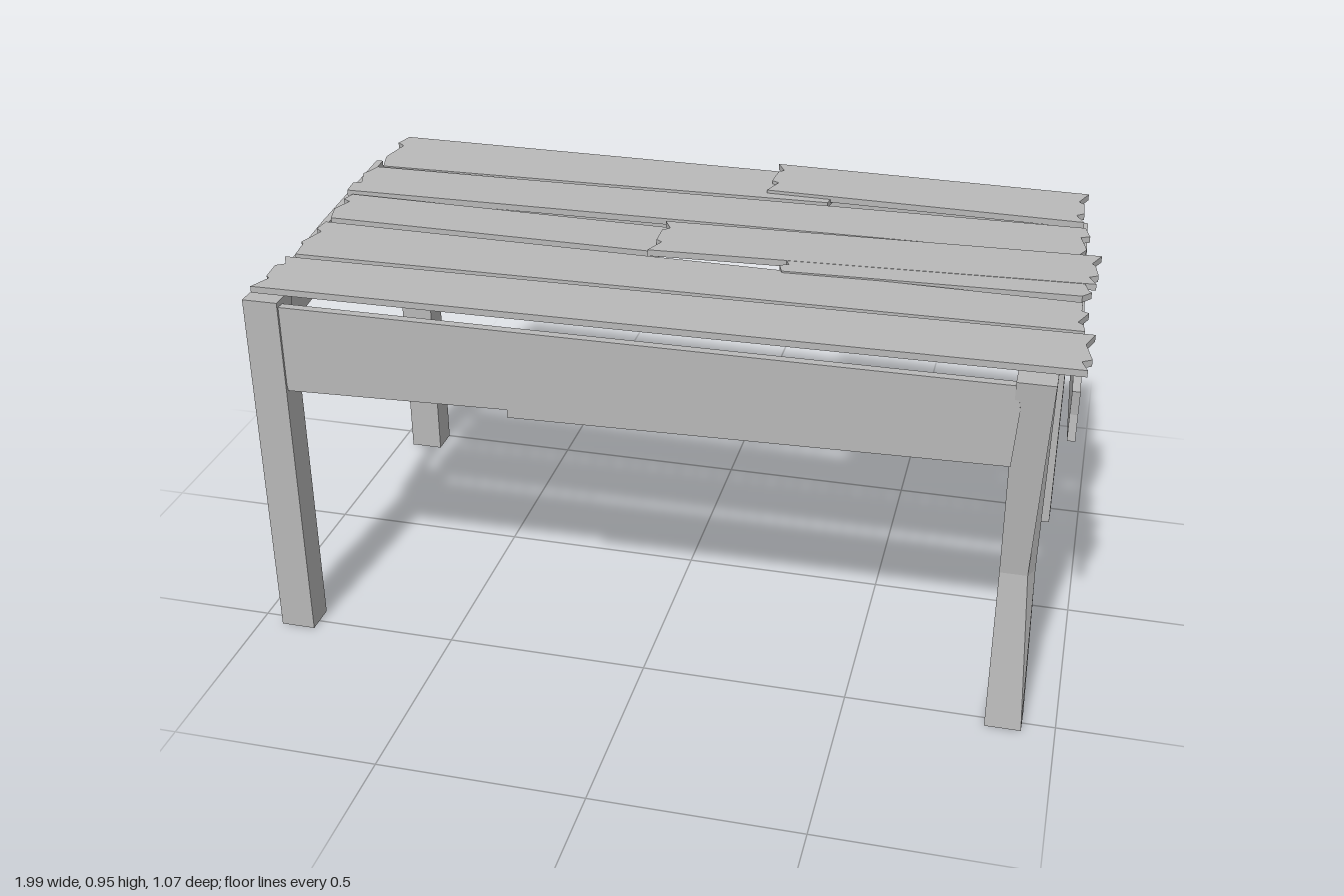
import * as THREE from 'three';

const wood = new THREE.MeshStandardMaterial({ color: 0xb8b8b8 });
wood.name = 'greyWood';

// Extrudes an outline into a board
function boardGeometry(points, thickness) {
  const shape = new THREE.Shape(points.map(([a, b]) => new THREE.Vector2(a, b)));
  return new THREE.ExtrudeGeometry(shape, { depth: thickness, bevelEnabled: false });
}

// Moves every vertex of a geometry by a rule
function reshape(geometry, rule) {
  const p = geometry.attributes.position;
  const v = new THREE.Vector3();
  for (let i = 0; i < p.count; i++) {
    rule(v.fromBufferAttribute(p, i));
    p.setXYZ(i, v.x, v.y, v.z);
  }
  geometry.computeVertexNormals();
  return geometry;
}

// Plank outline: four corners, with both ends splintered by a repeatable rule
function plankOutline(x0, x1, [back0, back1], [front0, front1], seed) {
  const splinter = i => 0.012 * Math.sin(seed * 4.1 + i * 2.3);
  const points = [];
  const steps = [0, 0.3, 0.36, 0.7, 0.78, 1];
  steps.forEach((t, i) => {
    points.push([x1 + splinter(i), THREE.MathUtils.lerp(back1, front1, t)]);
  });
  steps.forEach((t, i) => {
    points.push([x0 + splinter(i + 7), THREE.MathUtils.lerp(front0, back0, t)]);
  });
  return points;
}

export function createModel() {
  const table = new THREE.Group();
  table.name = 'roughTable';

  const add = (name, geometry) => {
    const mesh = new THREE.Mesh(geometry, wood);
    mesh.name = name;
    table.add(mesh);
  };

  // Straight square legs: left edge x, back edge z
  const legHeight = 0.908;
  const legs = [
    ['frontRightLeg', -0.943, 0.455],
    ['backRightLeg', -0.96, -0.502],
    ['backLeftLeg', 0.838, -0.502],
  ];
  for (const [name, x, z] of legs) {
    const g = new THREE.BoxGeometry(0.086, legHeight, 0.078);
    add(name, g.translate(x + 0.043, legHeight / 2, z + 0.039));
  }

  // Worn leg, hollowed at its front and outer faces
  const worn = new THREE.BoxGeometry(0.086, legHeight, 0.076, 1, 2, 1)
    .translate(0.879, legHeight / 2, 0.493).toNonIndexed();
  add('frontLeftLeg', reshape(worn, v => {
    if (v.y > 0.1 && v.y < 0.8) {
      v.y = 0.4;
      if (v.z > 0.5) v.z = 0.485;
      if (v.x > 0.9) v.x = v.z > 0.47 ? 0.9 : 0.915;
    }
  }));

  // Tabletop planks: name, top, tilt, end x values, back edge z, front edge z
  const planks = [
    ['backPlankRight', 0.932, 0.03, -0.945, 0.28, [-0.528, -0.505], [-0.312, -0.33]],
    ['backPlankLeft', 0.942, 0.04, 0.125, 0.923, [-0.535, -0.508], [-0.358, -0.33]],
    ['secondPlank', 0.93, 0, -0.955, 0.94, [-0.3, -0.312], [-0.12, -0.132]],
    ['middlePlankRight', 0.922, 0, -0.94, -0.07, [-0.115, -0.09], [0.05, 0.067]],
    ['middlePlankLeft', 0.936, 0.02, -0.078, 0.972, [-0.092, -0.122], [0.087, 0.04]],
    ['middleSplinter', 0.934, 0, 0.25, 0.962, [0.02, 0], [0.135, 0.112]],
    ['fourthPlank', 0.93, 0, -0.92, 0.958, [0.095, 0.138], [0.303, 0.292]],
    ['frontPlank', 0.932, 0, -0.92, 0.977, [0.326, 0.308], [0.507, 0.488]],
  ];
  planks.forEach(([name, top, tilt, x0, x1, back, front], i) => {
    const middle = (back[0] + front[0]) / 2;
    const g = boardGeometry(plankOutline(x0, x1, back, front, i + 1), 0.016)
      .rotateX(Math.PI / 2).translate(0, top, 0);
    add(name, reshape(g, v => { v.y -= (v.z - middle) * tilt; }));
  });

  // Front and back aprons with chipped lower edges
  add('frontApron', boardGeometry([
    [-0.87, 0.895], [-0.87, 0.8], [-0.855, 0.678], [-0.31, 0.695], [-0.31, 0.675],
    [0.84, 0.7], [0.85, 0.84], [0.84, 0.898]], 0.022).translate(0, 0, 0.505));
  add('backApron', boardGeometry([
    [-0.92, 0.87], [-0.9, 0.8], [-0.91, 0.7], [0.2, 0.685], [0.22, 0.7], [0.89, 0.705],
    [0.9, 0.78], [0.88, 0.8], [0.9, 0.885]], 0.02).translate(0, 0, -0.522));

  // Side aprons, skewed outside the legs: outline in z and y
  const sideOutline = [
    [0.45, 0.86], [0, 0.888], [-0.42, 0.9], [-0.42, 0.85], [-0.41, 0.83],
    [-0.415, 0.78], [0.31, 0.731], [0.45, 0.738], [0.443, 0.8]];
  const sides = [['leftApron', 0.955, 0.035], ['rightApron', -0.96, 0.05]];
  for (const [name, x, skew] of sides) {
    const g = boardGeometry(sideOutline, 0.018).rotateY(-Math.PI / 2).translate(x, 0, 0);
    add(name, reshape(g, v => { v.x += v.z * skew; }));
  }

  return table;
}
